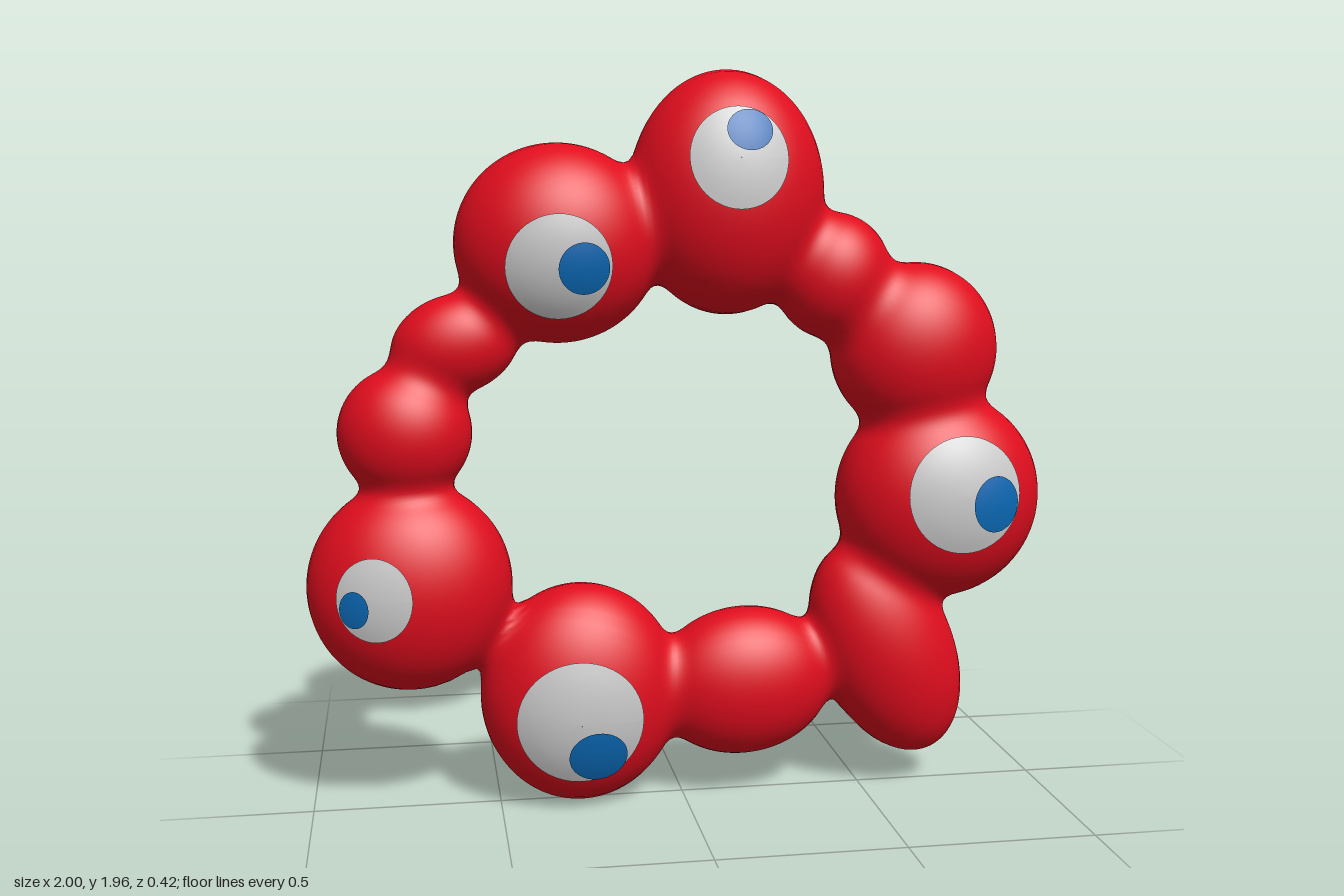
import * as THREE from 'three';

// Lobes of the ring, in order: centre x, y, half-sizes x, y, z, tilt in the ring plane
const LOBES = [
  [0.12, 1.64, 0.26, 0.32, 0.2, 0],
  [-0.33, 1.51, 0.27, 0.26, 0.2, 0],
  [-0.6, 1.25, 0.17, 0.13, 0.105, 0.3],
  [-0.735, 1.02, 0.175, 0.175, 0.14, 0],
  [-0.73, 0.61, 0.27, 0.28, 0.19, 0],
  [-0.28, 0.3, 0.27, 0.3, 0.18, 0],
  [0.17, 0.31, 0.25, 0.205, 0.15, 0.1],
  [0.575, 0.385, 0.19, 0.32, 0.15, 0.42],
  [0.715, 0.815, 0.285, 0.285, 0.205, 0],
  [0.64, 1.22, 0.23, 0.235, 0.17, 0],
  [0.41, 1.42, 0.16, 0.17, 0.14, 0],
];
const HUB = new THREE.Vector2(0, 0.95);
const BLEND = 0.06;

// Approximate distance to one ellipsoidal lobe
function lobeDistance([cx, cy, rx, ry, rz, tilt], x, y, z) {
  const c = Math.cos(tilt), s = Math.sin(tilt);
  const dx = x - cx, dy = y - cy;
  const u = (c * dx + s * dy) / rx, v = (c * dy - s * dx) / ry, w = z / rz;
  const k0 = Math.hypot(u, v, w);
  const k1 = Math.hypot(u / rx, v / ry, w / rz);
  return k1 < 1e-6 ? -Math.min(rx, ry, rz) : (k0 * (k0 - 1)) / k1;
}

// Smooth union of all lobes
function field(x, y, z) {
  let d = 10;
  for (const lobe of LOBES) {
    const e = lobeDistance(lobe, x, y, z);
    const h = Math.max(BLEND - Math.abs(d - e), 0);
    d = Math.min(d, e) - (h * h) / (4 * BLEND);
  }
  return d;
}

// Distance from an inside point along a direction to the blended surface
function reach(p, dx, dy, dz) {
  const at = (t) => field(p.x + dx * t, p.y + dy * t, dz * t);
  let hi = 0;
  while (hi < 0.7 && at(hi) < 0) hi += 0.012;
  let lo = Math.max(hi - 0.012, 0);
  for (let i = 0; i < 10; i++) {
    const mid = (lo + hi) / 2;
    if (at(mid) < 0) lo = mid;
    else hi = mid;
  }
  return lo;
}

// Closed skin made of cross-section loops around the ring
function ringGeometry(steps = 440, sides = 48) {
  const path = new THREE.CatmullRomCurve3(
    LOBES.map(([x, y]) => new THREE.Vector3(x, y, 0)), true, 'centripetal');
  const positions = [], indices = [];
  for (let i = 0; i < steps; i++) {
    const p = path.getPoint(i / steps);
    const out = new THREE.Vector2(p.x, p.y).sub(HUB).normalize();
    for (let j = 0; j < sides; j++) {
      const a = (j / sides) * Math.PI * 2;
      const dx = out.x * Math.cos(a), dy = out.y * Math.cos(a), dz = Math.sin(a);
      const t = reach(p, dx, dy, dz);
      positions.push(p.x + dx * t, p.y + dy * t, dz * t);
      const i2 = (i + 1) % steps, j2 = (j + 1) % sides;
      const q = [i * sides + j, i2 * sides + j, i2 * sides + j2, i * sides + j2];
      indices.push(q[0], q[1], q[2], q[0], q[2], q[3]);
    }
  }
  const geometry = new THREE.BufferGeometry();
  geometry.setAttribute('position', new THREE.Float32BufferAttribute(positions, 3));
  geometry.setIndex(indices);
  geometry.computeVertexNormals();
  return geometry;
}

// Thin round patch draped over the front of the ring
function patchGeometry(x, y, rx, ry, lift) {
  const geometry = new THREE.RingGeometry(0.001, 1, 48, 6);
  const pos = geometry.attributes.position;
  for (let i = 0; i < pos.count; i++) {
    const px = x + pos.getX(i) * rx, py = y + pos.getY(i) * ry;
    pos.setXYZ(i, px, py, reach({ x: px, y: py }, 0, 0, 1) + lift);
  }
  geometry.computeVertexNormals();
  return geometry;
}

// Eyes: white x, y, rx, ry, then pupil x, y, rx, ry
const EYES = [
  [0.12, 1.73, 0.128, 0.13, 0.146, 1.8, 0.06, 0.052],
  [-0.342, 1.457, 0.136, 0.134, -0.28, 1.453, 0.066, 0.066],
  [-0.822, 0.613, 0.097, 0.11, -0.874, 0.59, 0.037, 0.049],
  [-0.295, 0.258, 0.168, 0.168, -0.25, 0.167, 0.078, 0.07],
  [0.738, 0.842, 0.157, 0.157, 0.819, 0.818, 0.067, 0.076],
];

export function createModel() {
  const group = new THREE.Group();
  group.name = 'eyedRing';
  const red = new THREE.MeshStandardMaterial({ color: 0xe00d1e });
  const white = new THREE.MeshStandardMaterial({ color: 0xcccccc, side: THREE.DoubleSide });
  const blue = new THREE.MeshStandardMaterial({ color: 0x0a68b4, side: THREE.DoubleSide });

  const add = (name, geometry, material) => {
    const mesh = new THREE.Mesh(geometry, material);
    mesh.name = name;
    group.add(mesh);
  };

  add('lobedRing', ringGeometry(), red);
  EYES.forEach((e, i) => {
    add(`eyeWhite${i + 1}`, patchGeometry(...e.slice(0, 4), 0.007), white);
    add(`pupil${i + 1}`, patchGeometry(...e.slice(4), 0.012), blue);
  });
  return group;
}
